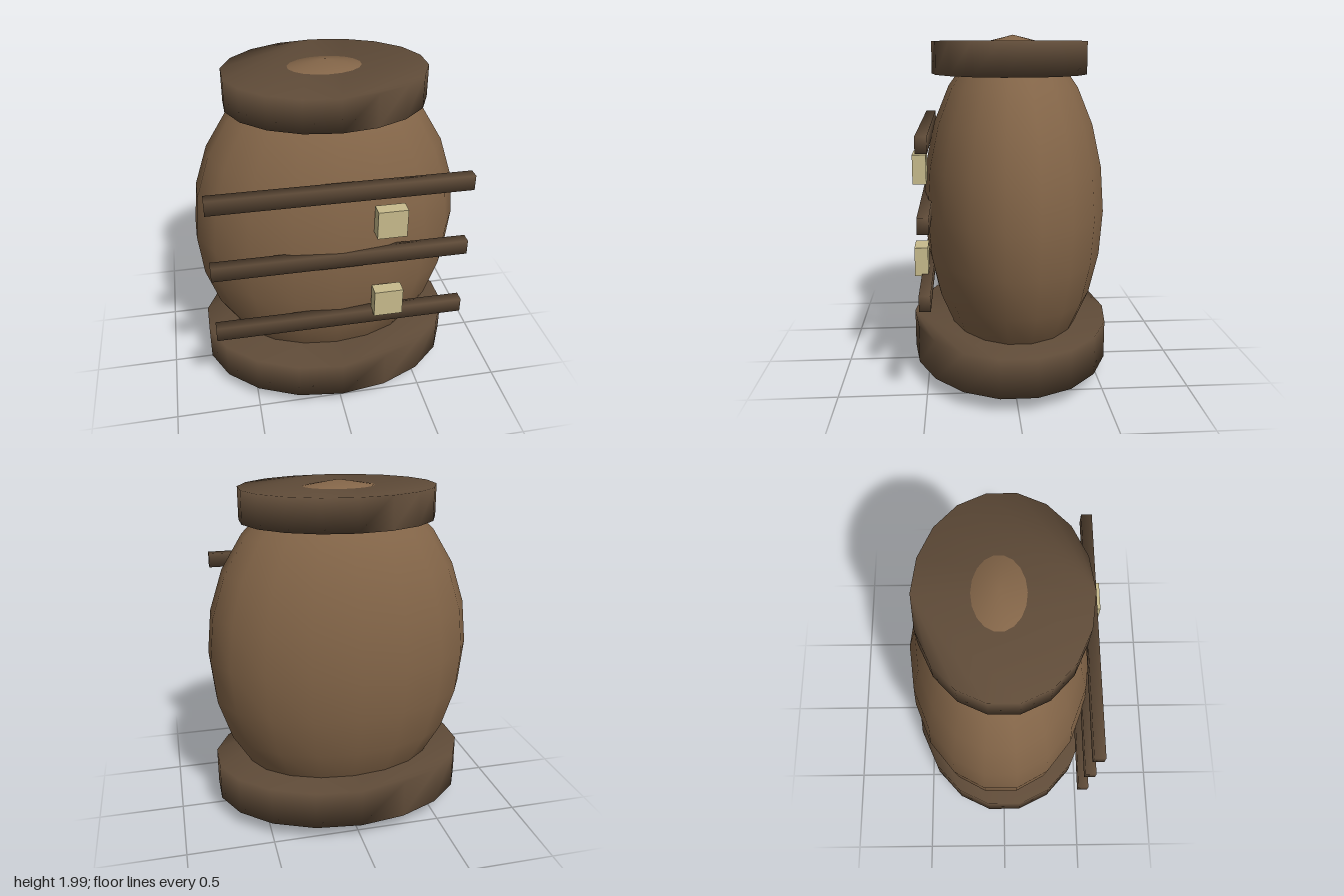
import * as THREE from 'three';
import { mergeVertices } from 'three/addons/utils/BufferGeometryUtils.js';

const mat = (name, color) => Object.assign(new THREE.MeshStandardMaterial({ color }), { name });

// Oval slab with 18 sides; shared vertices soften its rim
function ovalSlab(rx, rz, y0, y1) {
  const n = 18, pos = [], idx = [];
  for (const y of [y0, y1]) {
    for (let i = 0; i < n; i++) {
      const a = (i / n) * Math.PI * 2;
      pos.push(rx * Math.sin(a), y, rz * Math.cos(a));
    }
  }
  for (let i = 0; i < n; i++) {
    const j = (i + 1) % n;
    idx.push(i, j, n + j, i, n + j, n + i);
  }
  // Each cap is two fans from opposite corners
  for (const s of [0, n / 2]) {
    for (let k = 1; k < n / 2; k++) {
      const b = (s + k) % n, c = (s + k + 1) % n;
      idx.push(n + s, n + b, n + c, s, c, b);
    }
  }
  const g = new THREE.BufferGeometry();
  g.setAttribute('position', new THREE.Float32BufferAttribute(pos, 3));
  g.setIndex(idx);
  g.computeVertexNormals();
  return g;
}

// Box whose corners share softened normals
function softBox(w, h, d) {
  const g = new THREE.BoxGeometry(w, h, d);
  g.deleteAttribute('normal');
  g.deleteAttribute('uv');
  const m = mergeVertices(g);
  m.clearGroups();
  // Corner normals point straight out along the diagonals
  const p = m.attributes.position, nor = [];
  for (let i = 0; i < p.count; i++) {
    const v = new THREE.Vector3(Math.sign(p.getX(i)), Math.sign(p.getY(i)), Math.sign(p.getZ(i))).normalize();
    nor.push(v.x, v.y, v.z);
  }
  m.setAttribute('normal', new THREE.Float32BufferAttribute(nor, 3));
  return m;
}

export function createModel() {
  const group = new THREE.Group();
  const wood = mat('brown wood', 0x836548);
  const darkWood = mat('dark wood', 0x5f4b38);
  const cream = mat('cream', 0xc8bb8c);

  const add = (name, geometry, material, x = 0, y = 0, z = 0) => {
    const mesh = new THREE.Mesh(geometry, material);
    mesh.name = name;
    mesh.position.set(x, y, z);
    group.add(mesh);
  };

  // Bulging body, poking slightly through both slabs
  const body = new THREE.SphereGeometry(1, 18, 12);
  body.rotateY(Math.PI / 2);
  body.scale(0.788, 0.996, 0.535);
  add('body', body, wood, 0, 1.004, -0.02);

  // Lid and base
  add('lid', ovalSlab(0.568, 0.453, 1.78, 1.965), darkWood);
  add('base', ovalSlab(0.773, 0.588, 0.1, 0.325), darkWood);

  // Straight bars across the front
  for (const y of [0.628, 1.043, 1.458]) {
    add('frontBar', softBox(1.433, 0.086, 0.062), darkWood, -0.002, y, 0.49);
  }

  // Small pale blocks
  for (const y of [0.742, 1.272]) {
    add('block', new THREE.BoxGeometry(0.165, 0.165, 0.076), cream, 0.262, y, 0.522);
  }
  return group;
}
